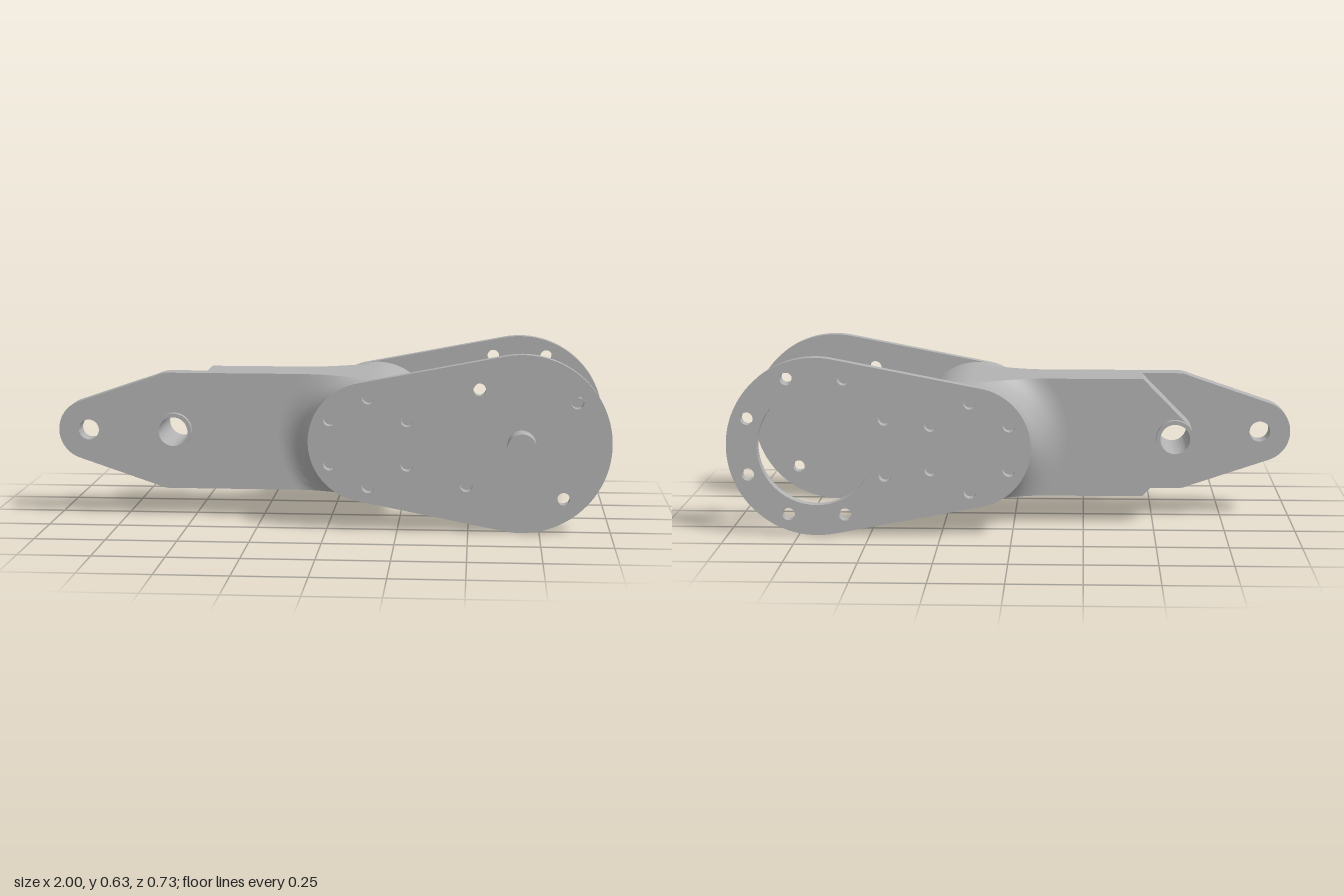
import * as THREE from 'three';
import { toCreasedNormals } from 'three/addons/utils/BufferGeometryUtils.js';

const CY = 0.317;          // height of the centre line
const BX = 0.147;          // barrel axis x
const BR = 0.213;          // barrel radius, also half height of the arm
const EX = 0.685;          // large end of the side plates
const ER = 0.315;
const BOSS = { x: -0.575, r: 0.067, bore: 0.053 };
const FILLET = 0.125;

export function createModel() {
  const model = new THREE.Group();
  const grey = new THREE.MeshStandardMaterial({ color: 0xb3b3b3 });
  grey.name = 'machined grey';

  const add = (name, geometry) => {
    const mesh = new THREE.Mesh(geometry, grey);
    mesh.name = name;
    model.add(mesh);
    return mesh;
  };

  // Shapes are drawn about the centre line, then raised to CY
  const hole = (shape, x, y, r) => {
    const path = new THREE.Path();
    path.absarc(x, y, r, 0, Math.PI * 2, true);
    shape.holes.push(path);
  };
  const slab = (name, shape, z0, z1) => {
    const g = new THREE.ExtrudeGeometry(shape, { depth: z1 - z0, bevelEnabled: false, curveSegments: 28 });
    g.translate(0, CY, z0);
    return add(name, toCreasedNormals(g, 0.5));
  };
  const rod = (name, x, r, z0, z1) => {
    const g = new THREE.CylinderGeometry(r, r, z1 - z0, 72);
    g.rotateX(Math.PI / 2);
    g.translate(x, CY, (z0 + z1) / 2);
    return add(name, g);
  };

  // Side plates: tapered outline tangent to a small and a large circle
  const sidePlate = () => {
    const s = new THREE.Shape();
    const t = Math.PI / 2 + Math.asin((ER - BR) / (EX - BX));
    s.absarc(EX, 0, ER, -t, t, false);
    s.absarc(BX, 0, BR, t, Math.PI * 2 - t, false);
    s.closePath();
    for (let k = 0; k < 6; k++) {
      const a = Math.PI / 6 + k * Math.PI / 3;
      hole(s, BX + 0.158 * Math.cos(a), 0.158 * Math.sin(a), 0.022);
    }
    return s;
  };
  const ringHoles = (s, count, radius, start) => {
    for (let k = 0; k < count; k++) {
      const a = start + k * Math.PI * 2 / count;
      hole(s, EX + radius * Math.cos(a), radius * Math.sin(a), 0.022);
    }
  };
  const front = sidePlate();
  ringHoles(front, 4, 0.243, 0.66);
  slab('frontPlate', front, 0.235, 0.275);

  const back = sidePlate();
  ringHoles(back, 8, 0.26, Math.PI / 8);
  hole(back, EX, 0, 0.207);
  slab('backPlate', back, -0.365, -0.325);

  // Barrel between the plates and the pin on the front plate
  rod('barrel', BX, BR, -0.325, 0.235);
  rod('pin', EX, 0.05, 0.275, 0.362);

  // Thin tongue with a rounded, drilled tip
  const tongue = new THREE.Shape();
  const tipX = -0.89, tipR = 0.11, tipA = 1.89;
  tongue.moveTo(BX, -BR);
  tongue.lineTo(BX, BR);
  tongue.lineTo(-0.59, BR);
  tongue.quadraticCurveTo(-0.615, BR, -0.64, BR - 0.012);
  tongue.absarc(tipX, 0, tipR, tipA, Math.PI * 2 - tipA, false);
  tongue.lineTo(-0.64, -BR + 0.012);
  tongue.quadraticCurveTo(-0.615, -BR, -0.59, -BR);
  tongue.closePath();
  hole(tongue, tipX, 0, 0.037);
  hole(tongue, BOSS.x, 0, 0.06);
  slab('armTongue', tongue, -0.015, 0.06);

  // Thick rear half of the arm, pointed around the boss
  const block = new THREE.Shape();
  block.moveTo(BX, -BR);
  block.lineTo(BX, BR);
  block.lineTo(-0.46, BR);
  block.absarc(BOSS.x, 0, BOSS.r, Math.PI * 0.75, Math.PI * 1.25, false);
  block.lineTo(-0.46, -BR);
  block.closePath();
  hole(block, BOSS.x, 0, 0.06);
  slab('armBlock', block, -0.155, -0.015);

  // Hollow boss through the arm
  const boss = new THREE.Shape();
  boss.absarc(BOSS.x, 0, BOSS.r, 0, Math.PI * 2, false);
  hole(boss, BOSS.x, 0, BOSS.bore);
  slab('boss', boss, -0.18, 0.085);

  // Concave flares from the arm faces to the barrel, trimmed flat top and bottom
  const flare = (name, z0, dir) => {
    const levels = 20, cols = 40, pos = [], idx = [];
    for (let i = 0; i <= levels; i++) {
      const t = i / levels * Math.PI / 2;
      const R = BR + FILLET * (1 - Math.sin(t));
      const z = z0 + dir * FILLET * (1 - Math.cos(t));
      const limit = Math.asin(Math.min(1, BR / R));
      pos.push(BX, CY - BR, z);
      for (let j = 0; j <= cols; j++) {
        const a = limit * (2 * j / cols - 1);
        pos.push(BX - R * Math.cos(a), CY + R * Math.sin(a), z);
      }
      pos.push(BX, CY + BR, z);
    }
    const w = cols + 3;
    for (let i = 0; i < levels; i++) {
      for (let j = 0; j < w - 1; j++) {
        const a = i * w + j, b = a + 1, c = a + w, d = c + 1;
        if (dir > 0) idx.push(a, c, b, b, c, d);
        else idx.push(a, b, c, b, d, c);
      }
    }
    const g = new THREE.BufferGeometry();
    g.setAttribute('position', new THREE.Float32BufferAttribute(pos, 3));
    g.setIndex(idx);
    add(name, toCreasedNormals(g, 0.5));
  };
  flare('frontFlare', 0.06, 1);
  flare('backFlare', -0.155, -1);

  return model;
}
